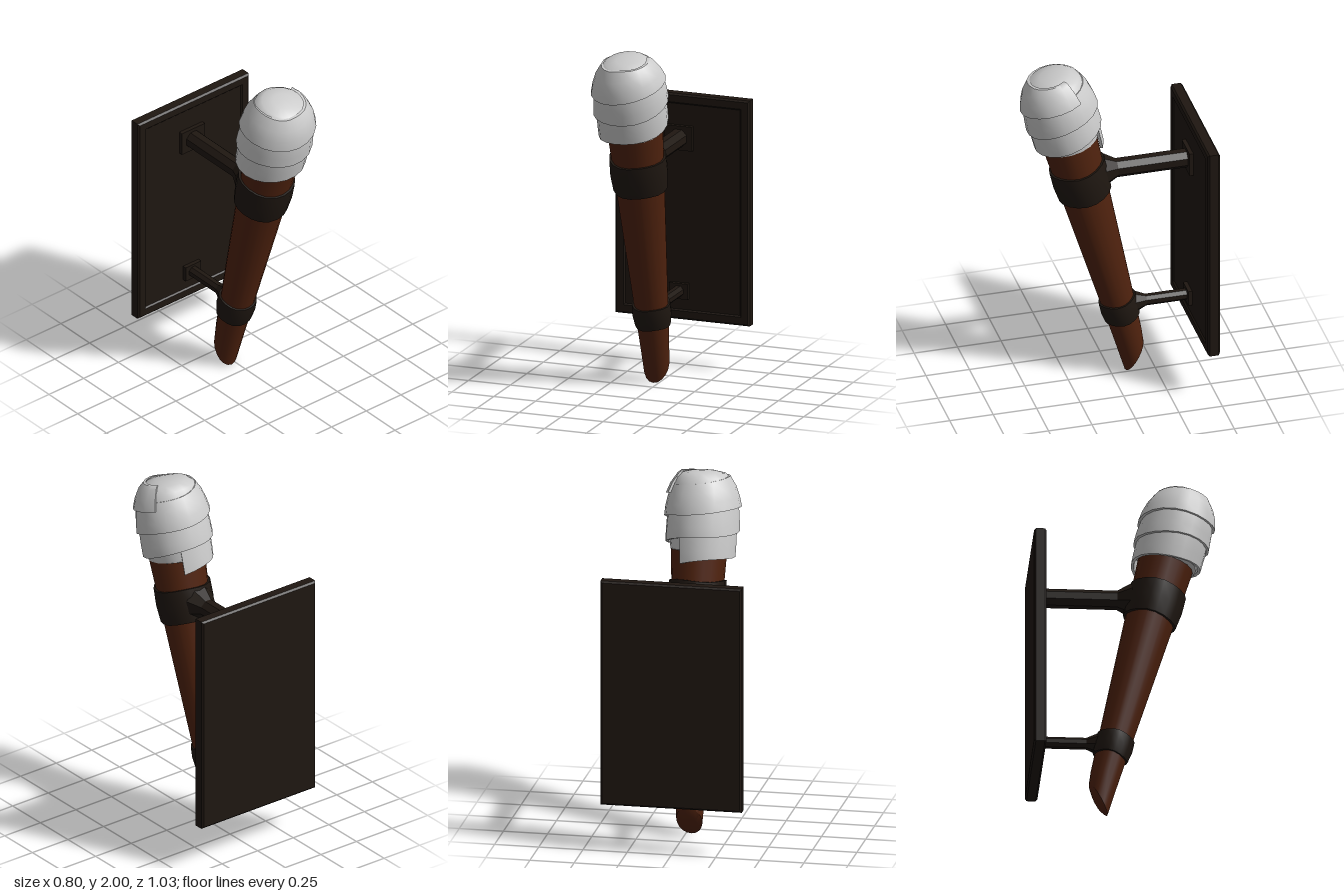
import * as THREE from 'three';
import { toCreasedNormals } from 'three/addons/utils/BufferGeometryUtils.js';

const wood = new THREE.MeshStandardMaterial({ color: 0x4f220e });
const iron = new THREE.MeshStandardMaterial({ color: 0x1f1711 });
const cloth = new THREE.MeshStandardMaterial({ color: 0xcccccc, side: THREE.DoubleSide });

function part(name, geometry, material, parent, crease = 0.6) {
  const mesh = new THREE.Mesh(toCreasedNormals(geometry, crease), material);
  mesh.name = name;
  parent.add(mesh);
  return mesh;
}

const lathe = (points, sides) =>
  new THREE.LatheGeometry(points.map(([r, y]) => new THREE.Vector2(r, y)), sides);

// Moves every vertex by a rule that edits the vector in place
function reshape(geometry, rule) {
  const p = geometry.attributes.position, v = new THREE.Vector3();
  for (let i = 0; i < p.count; i++) {
    rule(v.fromBufferAttribute(p, i));
    p.setXYZ(i, v.x, v.y, v.z);
  }
  return geometry;
}

function rectangle(PathType, w, h) {
  const path = new PathType();
  path.moveTo(-w, -h).lineTo(w, -h).lineTo(w, h).lineTo(-w, h).closePath();
  return path;
}

// Outer radius of the cloth head at a height along the torch
const headCurve = [
  [1.48, 0.163], [1.6, 0.184], [1.72, 0.2], [1.85, 0.204],
  [1.93, 0.194], [2.0, 0.168], [2.06, 0.12],
];
function headRadius(t) {
  let i = 1;
  while (i < headCurve.length - 1 && t > headCurve[i][0]) i++;
  const [t0, r0] = headCurve[i - 1], [t1, r1] = headCurve[i];
  return r0 + (r1 - r0) * (t - t0) / (t1 - t0);
}

// Cloth strip wound upward, each turn lapping over the one below
function clothStrip() {
  const start = 150, end = 1200, steps = 58, height = 0.17;
  const positions = [], index = [], n = 8;
  for (let i = 0; i <= steps; i++) {
    const deg = start + (end - start) * i / steps;
    const a = deg * Math.PI / 180;
    const bottom = 1.525 + 0.135 * (deg - start) / 360 + 0.006 * Math.sin(a * 2.3);
    for (let k = 0; k < n; k++) {
      const outer = k < 4;
      const f = (outer ? k : 7 - k) / 3;
      const t = Math.min(bottom + height * f, 2.04);
      const r = headRadius(t) + 0.012 - 0.02 * f - (outer ? 0 : 0.016);
      positions.push(r * Math.sin(a), t, r * Math.cos(a));
    }
  }
  for (let i = 0; i < steps; i++)
    for (let k = 0; k < n; k++) {
      const a = i * n + k, d = i * n + (k + 1) % n;
      index.push(a, a + n, d, a + n, d + n, d);
    }
  // Close both strip ends
  for (const base of [0, steps * n])
    for (let k = 0; k < 3; k++) {
      const a = base + k, b = base + 7 - k;
      index.push(a, a + 1, b, a + 1, b - 1, b);
    }
  const g = new THREE.BufferGeometry();
  g.setAttribute('position', new THREE.Float32BufferAttribute(positions, 3));
  g.setIndex(index);
  return g;
}

export function createModel() {
  const model = new THREE.Group();
  model.name = 'wallTorch';

  // Wall plate: chamfered frame around a slightly sunken panel
  const bevel = 0.01, shape = rectangle(THREE.Shape, 0.39, 0.64);
  shape.holes.push(rectangle(THREE.Path, 0.35, 0.6));
  const frame = part('plateFrame', new THREE.ExtrudeGeometry(shape, {
    depth: 0.05, bevelThickness: bevel, bevelSize: bevel, bevelSegments: 1,
  }), iron, model, 0.3);
  frame.position.set(0, 0.92, -0.505);
  part('platePanel', new THREE.BoxGeometry(0.71, 1.21, 0.062), iron, model)
    .position.set(0, 0.92, -0.484);

  // Two bracket arms, each with a wall flange and a flared collar
  for (const [name, y, r, reach, flareR, flareZ, fw, fh] of [
    ['upper', 1.32, 0.054, 0.03, 0.098, 0.05, 0.165, 0.14],
    ['lower', 0.437, 0.033, -0.14, 0.068, -0.12, 0.11, 0.09],
  ]) {
    const bracket = new THREE.Group();
    bracket.name = name + 'Bracket';
    bracket.position.set(-0.017, y, 0);
    model.add(bracket);
    const rod = (label, rFront, rBack, zFront, zBack) => {
      const g = new THREE.CylinderGeometry(rFront, rBack, zFront - zBack, 8);
      g.rotateY(Math.PI / 8).rotateX(Math.PI / 2).translate(0, 0, (zFront + zBack) / 2);
      part(label, g, iron, bracket, 0.5);
    };
    rod('arm', r, r, reach, -0.45);
    rod('collar', flareR, r, flareZ, flareZ - 0.08);
    part('flange', new THREE.BoxGeometry(fw, fh, 0.03), iron, bracket).position.z = -0.445;
  }

  // Leaning torch, built upright along its own axis
  const torch = new THREE.Group();
  torch.name = 'torch';
  torch.position.set(-0.03, 0, -0.158);
  torch.quaternion.setFromUnitVectors(
    new THREE.Vector3(0, 1, 0), new THREE.Vector3(0.014, 1, 0.258).normalize());
  model.add(torch);

  // Tapered shaft with a slanted cut at the foot
  const shaft = lathe([[0, -0.025], [0.045, -0.02], [0.073, 0], [0.083, 0.25], [0.158, 1.62]], 18);
  reshape(shaft, v => { if (v.y < 0.1) v.y += 0.092 - 1.02 * v.z; });
  part('shaft', shaft, wood, torch);

  // Iron bands with slightly uneven edges
  for (const [name, t0, t1, r0, r1] of [
    ['upperBand', 1.234, 1.43, 0.152, 0.16],
    ['lowerBand', 0.36, 0.49, 0.1, 0.107],
  ]) {
    const tm = (t0 + t1) / 2, rm = (r0 + r1) / 2 + 0.006;
    const band = lathe([[r0 - 0.03, t0], [r0, t0], [rm, tm], [r1, t1], [r1 - 0.03, t1]], 18);
    reshape(band, v => { v.y += 0.005 * Math.sin(3 * Math.atan2(v.x, v.z)); });
    part(name, band, iron, torch);
  }

  // Cloth head: rounded core and the wound strip
  const head = new THREE.Group();
  head.name = 'clothHead';
  head.position.x = -0.014;
  torch.add(head);
  const core = [[0.1, 1.56], ...headCurve.slice(1, 6).map(([t, r]) => [r - 0.012, t]),
    [0.12, 2.03], [0.06, 2.043], [0, 2.046]];
  part('clothCore', lathe(core, 18), cloth, head, 0.9);
  part('clothStrip', clothStrip(), cloth, head, 0.7);

  return model;
}
